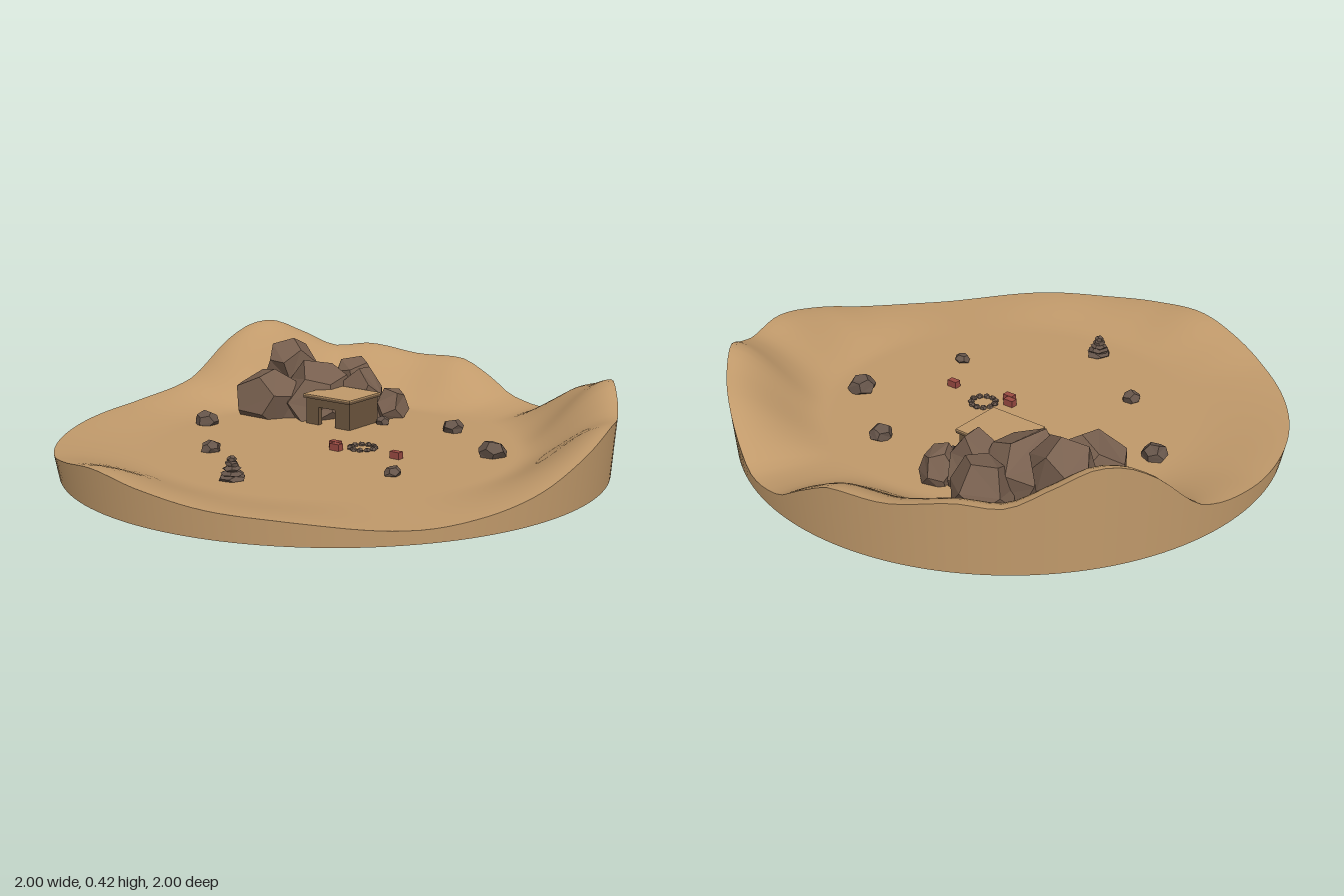
import * as THREE from 'three';
import { mergeVertices } from 'three/addons/utils/BufferGeometryUtils.js';

const FLOOR = 0.1;

// Rim height by bearing in degrees (0 = back, 90 = left side, 180 = front)
const RIM = [
  [-180, 0.175], [-168, 0.195], [-155, 0.165], [-143, 0.135], [-127, 0.125], [-105, 0.13], [-90, 0.14],
  [-75, 0.19], [-63, 0.36], [-54, 0.41], [-45, 0.35], [-38, 0.295], [-29, 0.305], [-17, 0.27], [-5, 0.265],
  [3, 0.2], [9, 0.14], [20, 0.125], [28, 0.2], [35, 0.265], [44, 0.31], [52, 0.345], [59, 0.3], [66, 0.265],
  [77, 0.27], [90, 0.22], [104, 0.15], [118, 0.11], [130, 0.1], [150, 0.13], [165, 0.145], [180, 0.175],
];

function rimHeight(x, z) {
  const a = THREE.MathUtils.radToDeg(Math.atan2(x, -z));
  const n = RIM.length - 1;
  let i = 0;
  while (i < n - 1 && a > RIM[i + 1][0]) i++;
  const at = (k) => RIM[((k % n) + n) % n][1];
  const [a0, h0] = RIM[i], [a1, h1] = RIM[i + 1];
  const t = (a - a0) / (a1 - a0);
  const m0 = (h1 - at(i - 1)) / 2, m1 = (at(i + 2) - h0) / 2;
  const t2 = t * t, t3 = t2 * t;
  return h0 * (2 * t3 - 3 * t2 + 1) + m0 * (t3 - 2 * t2 + t) + h1 * (3 * t2 - 2 * t3) + m1 * (t3 - t2);
}

// Faceted boulder: a turned dodecahedron with its corners pushed in and out
function rockGeometry(seed) {
  const geo = new THREE.DodecahedronGeometry(1.05);
  const p = geo.attributes.position, v = new THREE.Vector3();
  for (let i = 0; i < p.count; i++) {
    v.fromBufferAttribute(p, i);
    const k = 1 + 0.09 * Math.sin(v.x * 5.1 + v.y * 7.3 + v.z * 3.7 + seed * 2.4);
    p.setXYZ(i, v.x * k, v.y * k, v.z * k);
  }
  geo.rotateX(seed * 1.3).rotateY(seed * 2.1);
  return geo;
}

export function createModel() {
  const model = new THREE.Group();
  const mat = (name, color, side = THREE.FrontSide) => {
    const m = new THREE.MeshStandardMaterial({ color, side });
    m.name = name;
    return m;
  };
  const sand = mat('sand', 0xc19a6b, THREE.DoubleSide);
  const stone = mat('stone', 0x78604f);
  const darkStone = mat('dark stone', 0x66554a);
  const wall = mat('wall', 0x6e573f);
  const red = mat('red crate', 0x9a4a42);

  const add = (parent, name, geo, material, x = 0, y = 0, z = 0) => {
    const mesh = new THREE.Mesh(geo, material);
    mesh.name = name;
    mesh.position.set(x, y, z);
    parent.add(mesh);
    return mesh;
  };
  const group = (name) => {
    const g = new THREE.Group();
    g.name = name;
    model.add(g);
    return g;
  };
  let seed = 0;
  const rock = (parent, name, material, [x, y, z, rx, ry, rz]) => {
    const geo = rockGeometry(++seed);
    geo.scale(rx, ry, rz);
    geo.computeVertexNormals();
    return add(parent, name, geo, material, x, y, z);
  };

  // Sand bowl: flat floor that rises smoothly into dunes at the rim
  let ground = new THREE.RingGeometry(0.001, 1, 144, 48).rotateX(-Math.PI / 2);
  ground.deleteAttribute('uv');
  ground.deleteAttribute('normal');
  ground = mergeVertices(ground, 1e-5);
  const gp = ground.attributes.position;
  for (let i = 0; i < gp.count; i++) {
    const x = gp.getX(i), z = gp.getZ(i);
    const t = THREE.MathUtils.smoothstep(Math.hypot(x, z), 0.66, 1);
    gp.setY(i, FLOOR + (rimHeight(x, z) - FLOOR) * t);
  }
  ground.computeVertexNormals();
  add(model, 'ground', ground, sand);

  // Outer skirt, open underneath
  const skirt = new THREE.CylinderGeometry(1, 0.985, 1, 144, 1, true);
  const sp = skirt.attributes.position;
  for (let i = 0; i < sp.count; i++) {
    sp.setY(i, sp.getY(i) > 0 ? rimHeight(sp.getX(i), sp.getZ(i)) : 0.05);
  }
  add(model, 'skirt', skirt, sand);

  // Boulder outcrop
  const outcrop = group('outcrop');
  [
    [-0.58, 0.25, -0.45, 0.115, 0.11, 0.11],
    [-0.55, 0.11, -0.45, 0.11, 0.11, 0.11],
    [-0.37, 0.16, -0.6, 0.1, 0.13, 0.11],
    [-0.53, 0.16, -0.26, 0.15, 0.12, 0.125],
    [-0.38, 0.155, -0.4, 0.14, 0.155, 0.18],
    [-0.23, 0.14, -0.48, 0.095, 0.14, 0.09],
    [-0.13, 0.13, -0.53, 0.07, 0.085, 0.075],
  ].forEach((r) => rock(outcrop, 'boulder', stone, r));

  // Scattered stones
  const scattered = group('scatteredStones');
  [
    [0.215, -0.455, 0.042], [0.52, -0.235, 0.052], [0.385, 0.18, 0.03],
    [-0.315, 0.32, 0.036], [-0.61, 0.025, 0.047], [-0.07, -0.39, 0.028],
  ].forEach(([x, z, r]) => rock(scattered, 'stone', darkStone, [x, FLOOR + r * 0.3, z, r, r * 0.75, r]));

  // Hut with a doorway and a flat sand roof
  const hut = group('hut');
  const front = new THREE.Shape([[-0.105, 0], [-0.045, 0], [-0.045, 0.07], [0.035, 0.07],
    [0.035, 0], [0.105, 0], [0.105, 0.105], [-0.105, 0.105]].map(([x, y]) => new THREE.Vector2(x, y)));
  add(hut, 'frontWall', new THREE.ExtrudeGeometry(front, { depth: 0.02, bevelEnabled: false }), wall, -0.207, FLOOR, -0.24);
  add(hut, 'backWall', new THREE.BoxGeometry(0.21, 0.105, 0.02), wall, -0.207, FLOOR + 0.0525, -0.39);
  for (const s of [-1, 1]) {
    add(hut, 'sideWall', new THREE.BoxGeometry(0.02, 0.105, 0.14), wall, -0.207 + s * 0.095, FLOOR + 0.0525, -0.31);
  }
  add(hut, 'roofEdge', new THREE.BoxGeometry(0.225, 0.01, 0.2), wall, -0.207, 0.208, -0.31);
  add(hut, 'roof', new THREE.BoxGeometry(0.225, 0.005, 0.2), sand, -0.207, 0.2155, -0.31);

  // Fire ring
  const ring = group('fireRing');
  for (let i = 0; i < 11; i++) {
    const a = (i / 11) * Math.PI * 2;
    rock(ring, 'ringStone', darkStone,
      [0.097 + 0.045 * Math.cos(a), FLOOR + 0.004, -0.038 + 0.045 * Math.sin(a), 0.012, 0.01, 0.012]);
  }

  // Cairn of flattened stones
  const cairn = group('cairn');
  [0.047, 0.038, 0.03, 0.023, 0.016].forEach((r, i) =>
    rock(cairn, 'cairnStone', darkStone, [0, FLOOR + 0.008 + i * 0.016, 0.555, r, 0.012, r]));

  // Crates
  const crates = group('crates');
  [[0.01, 0.01], [0.035, 0.038], [0.27, -0.003]].forEach(([x, z]) =>
    add(crates, 'crate', new THREE.BoxGeometry(0.04, 0.025, 0.026), red, x, FLOOR + 0.0125, z));

  return model;
}
